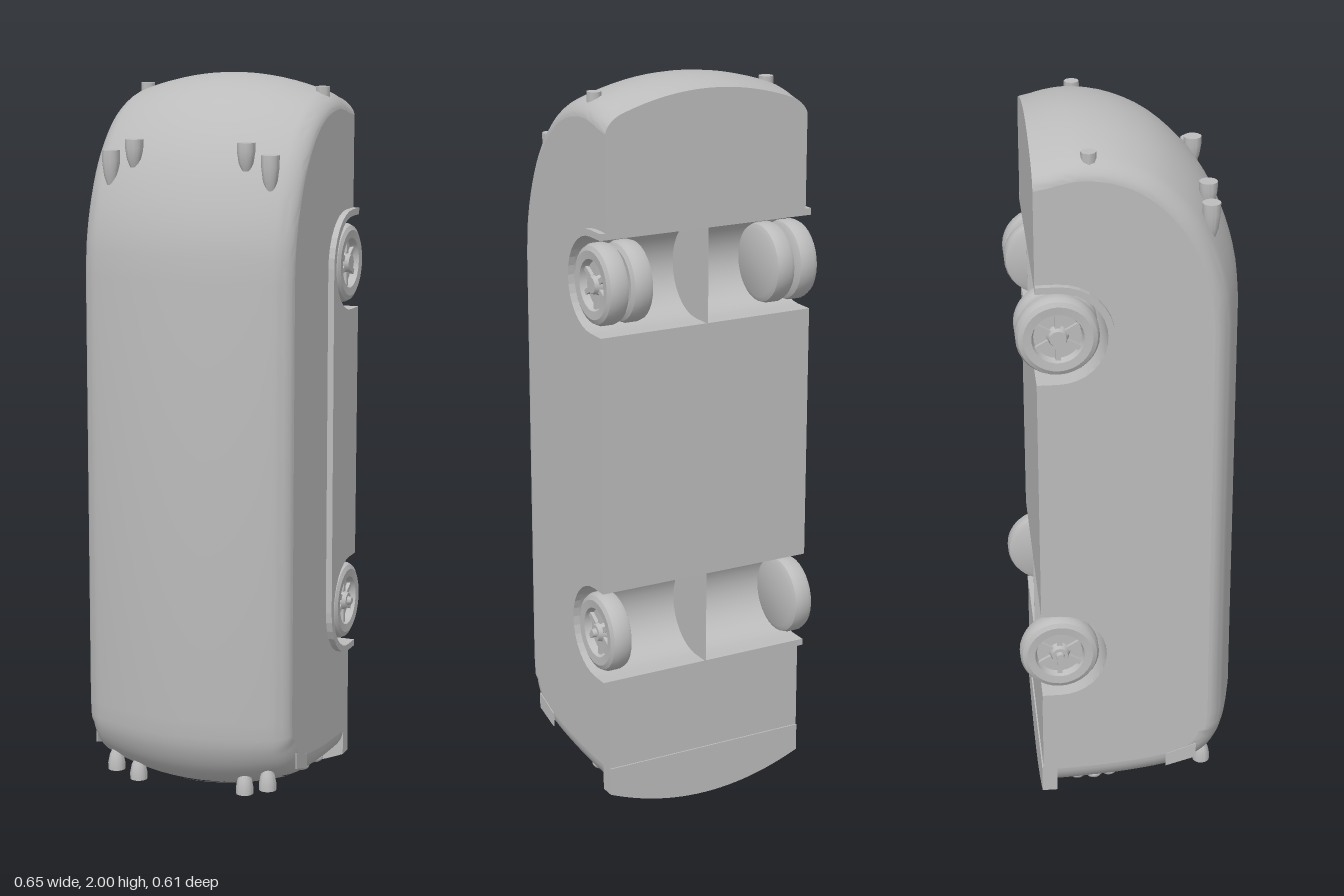
import * as THREE from 'three';
import { toCreasedNormals } from 'three/addons/utils/BufferGeometryUtils.js';

const HALF = 0.297, FLOOR = -0.25, WELL_R = 0.128, LIP_R = 0.146;
const AXLES = [{ y: 1.486, z: -0.193, dual: true }, { y: 0.526, z: -0.2, dual: false }];
const V2 = (z, y) => new THREE.Vector2(z, y);

// Smooth centreline of the rear, roof and nose, as (z, y)
function centreline() {
  const curve = (pts, n) => new THREE.CatmullRomCurve3(
    pts.map(([z, y]) => new THREE.Vector3(z, y, 0)), false, 'centripetal').getPoints(n).map(p => V2(p.x, p.y));
  return [
    ...curve([[FLOOR, 1.977], [-0.19, 1.993], [-0.12, 2], [-0.02, 1.985], [0.08, 1.94], [0.16, 1.87],
      [0.22, 1.79], [0.27, 1.68], [0.296, 1.58], [0.305, 1.48]], 28),
    ...curve([[0.305, 0.29], [0.295, 0.21], [0.26, 0.14], [0.21, 0.095], [0.12, 0.06], [0, 0.04],
      [-0.12, 0.03], [FLOOR, 0.025]], 24),
  ];
}

// Half-round notch over a wheel, from low y to high y
function arch(axle, r, n = 16) {
  const pts = [V2(FLOOR, axle.y - r)];
  for (let i = 0; i <= n; i++) {
    const a = -Math.PI / 2 + Math.PI * i / n;
    pts.push(V2(axle.z + r * Math.cos(a), axle.y + r * Math.sin(a)));
  }
  pts.push(V2(FLOOR, axle.y + r));
  return pts;
}

const LINE = centreline();
const NORMALS = LINE.map((p, i) => {
  if (i === 0) return V2(0, 1);
  if (i === LINE.length - 1) return V2(0, -1);
  const t = LINE[i + 1].clone().sub(LINE[i - 1]).normalize();
  return V2(-t.y, t.x);
});
const NOTCHES = [...arch(AXLES[1], WELL_R), ...arch(AXLES[0], WELL_R)];

// Centreline pulled in towards the sides, with rounded corners
function section(x) {
  const t = Math.max(0, (Math.abs(x) - 0.25) / (HALF - 0.25));
  const corner = 0.03 * (1 - Math.sqrt(Math.max(0, 1 - t * t)));
  return LINE.map((p, i) => {
    const nose = p.y < 0.2 ? 1.5 : 1;
    return p.clone().addScaledVector(NORMALS[i], -(0.72 * x * x + corner * nose));
  });
}

// Grid surface through rows of (z, y) points
function loft(xs, rows, closed) {
  const pos = [], idx = [], n = rows[0].length;
  rows.forEach((row, i) => row.forEach(p => pos.push(xs[i], p.y, p.x)));
  for (let i = 0; i < xs.length - 1; i++) {
    for (let j = 0; j < (closed ? n : n - 1); j++) {
      const a = i * n + j, d = i * n + (j + 1) % n, b = a + n, c = d + n;
      idx.push(a, d, b, d, c, b);
    }
  }
  const g = new THREE.BufferGeometry();
  g.setAttribute('position', new THREE.Float32BufferAttribute(pos, 3));
  g.setIndex(idx);
  return toCreasedNormals(g, 0.5);
}

export function createModel() {
  const model = new THREE.Group();
  const grey = new THREE.MeshStandardMaterial({ color: 0xbcbcbc });
  grey.name = 'grey';
  const add = (name, geo, parent = model) => {
    const m = new THREE.Mesh(geo, grey);
    m.name = name;
    parent.add(m);
    return m;
  };
  // Shape drawn in the side plane from (z, y) points
  const sideShape = pts => new THREE.Shape(pts.map(p => V2(-p.x, p.y)));

  // Body shell with wheel wells cut through it
  const xs = [];
  for (let i = 0; i <= 16; i++) xs.push(-0.25 + 0.5 * i / 16);
  for (let i = 1; i <= 7; i++) {
    const x = 0.25 + (HALF - 0.25) * Math.sin(Math.PI / 2 * i / 7);
    xs.push(x);
    xs.unshift(-x);
  }
  add('body', loft(xs, xs.map(x => [...section(x), ...NOTCHES]), true));

  // Flat flanks closing the shell
  const flank = sideShape([...section(HALF), ...NOTCHES]);
  add('leftFlank', new THREE.ShapeGeometry(flank).rotateY(Math.PI / 2).translate(HALF, 0, 0));
  const mirrored = new THREE.Shape([...section(HALF), ...NOTCHES]);
  add('rightFlank', new THREE.ShapeGeometry(mirrored).rotateY(-Math.PI / 2).translate(-HALF, 0, 0));

  // Raised skirts with lips around the wheels
  const [rear, front] = AXLES;
  const outer = [...arch(front, LIP_R).slice(0, 10), ...arch(rear, LIP_R).slice(9)];
  const skirt = sideShape([...outer, ...NOTCHES.slice().reverse()]);
  for (const x of [HALF - 0.002, -HALF - 0.017]) {
    add('wheelSkirt', new THREE.ExtrudeGeometry(skirt, { depth: 0.019, bevelEnabled: false })
      .rotateY(Math.PI / 2).translate(x, 0, 0));
  }

  // Partition between the left and right wheel wells
  for (const axle of AXLES) {
    add('wellDivider', new THREE.ExtrudeGeometry(sideShape(arch(axle, WELL_R)), { depth: 0.004, bevelEnabled: false })
      .rotateY(Math.PI / 2).translate(-0.002, 0, 0));
  }

  // Wheels: tyre with dished rim, hub and spokes
  const tyre = toCreasedNormals(new THREE.LatheGeometry([[0, -0.031], [0.09, -0.031], [0.104, -0.024], [0.108, -0.012],
    [0.108, 0.014], [0.102, 0.026], [0.09, 0.032], [0.068, 0.03], [0.062, 0.01], [0, 0.01]]
    .map(([r, h]) => V2(r, h)), 32), 0.5);
  const hub = new THREE.CylinderGeometry(0.022, 0.03, 0.022, 12).translate(0, 0.02, 0);
  const cap = new THREE.CylinderGeometry(0.01, 0.014, 0.014, 8).translate(0, 0.035, 0);
  const spoke = new THREE.BoxGeometry(0.04, 0.01, 0.014).translate(0.045, 0.015, 0);
  function wheel(name, side, x, axle) {
    const g = new THREE.Group();
    g.name = name;
    add('tyre', tyre, g);
    add('hub', hub, g);
    if (!axle.dual) add('hubCap', cap, g);
    for (let i = 0; i < 6; i++) add('spoke', spoke, g).rotation.y = i * Math.PI / 3;
    g.position.set(side * x, axle.y, axle.z);
    g.rotation.z = -side * Math.PI / 2;
    model.add(g);
  }

  // Small round lamps lying along the body's length
  const bullet = (h, r) => toCreasedNormals(new THREE.LatheGeometry(
    [[0, -h / 2], [r * 0.45, -h * 0.48], [r * 0.8, -h * 0.2], [r, h * 0.2], [r, h / 2], [0, h / 2]]
      .map(([a, b]) => V2(a, b)), 16), 0.6);
  function lamp(name, x, y, z, h, r, flip) {
    const m = add(name, bullet(h, r));
    m.position.set(x, y, z);
    if (flip) m.rotation.x = Math.PI;
  }

  for (const s of [-1, 1]) {
    for (const axle of AXLES) wheel(axle.dual ? 'rearWheel' : 'frontWheel', s, 0.281, axle);
    wheel('rearInnerWheel', s, 0.211, rear);
    lamp('rearMarker', s * 0.225, 1.76, 0.205, 0.095, 0.024, false);
    lamp('rearMarker', s * 0.158, 1.8, 0.205, 0.075, 0.024, false);
    lamp('frontMarker', s * 0.225, 0.12, 0.205, 0.06, 0.024, true);
    lamp('frontMarker', s * 0.158, 0.1, 0.205, 0.06, 0.024, true);
    const top = add('tailMarker', new THREE.CylinderGeometry(0.02, 0.02, 0.04, 8));
    top.position.set(s * 0.255, 1.948, -0.108);
    // Headlamp cluster on the nose
    for (const [x, y, z] of [[0.225, 0.073, -0.06], [0.25, 0.085, -0.105], [0.225, 0.068, -0.15], [0.19, 0.058, -0.105]]) {
      const l = add('headlamp', new THREE.SphereGeometry(0.024, 16, 10));
      l.scale.y = 0.6;
      l.position.set(s * x, y, z);
    }
    // Front side window plate
    const pane = sideShape([V2(0.18, 0.195), V2(0.095, 0.165), V2(0.095, 0.125), V2(0.18, 0.15)]);
    add('sideWindow', new THREE.ExtrudeGeometry(pane, { depth: 0.003, bevelEnabled: false })
      .rotateY(Math.PI / 2).translate(s > 0 ? HALF - 0.001 : -HALF - 0.002, 0, 0));
  }

  // Windscreen plate following the nose
  const wx = xs.filter(x => Math.abs(x) <= 0.25);
  const glass = wx.map(x => section(x)
    .map((p, i) => p.clone().addScaledVector(NORMALS[i], 0.003))
    .filter((p, i) => LINE[i].y < 0.1 && LINE[i].x > -0.01 && LINE[i].x < 0.2));
  add('windscreen', loft(wx, glass, false));

  // Curved bumper below the nose
  const edge = [];
  for (let i = 0; i <= 24; i++) {
    const x = -HALF + 2 * HALF * i / 24;
    edge.push(V2(x, 0.72 * x * x));
  }
  const bumper = new THREE.Shape([...edge, V2(HALF, 0.14), V2(-HALF, 0.14)]);
  add('bumper', toCreasedNormals(new THREE.ExtrudeGeometry(bumper, { depth: 0.042, bevelEnabled: false })
    .translate(0, 0, -0.254), 0.5));

  return model;
}
